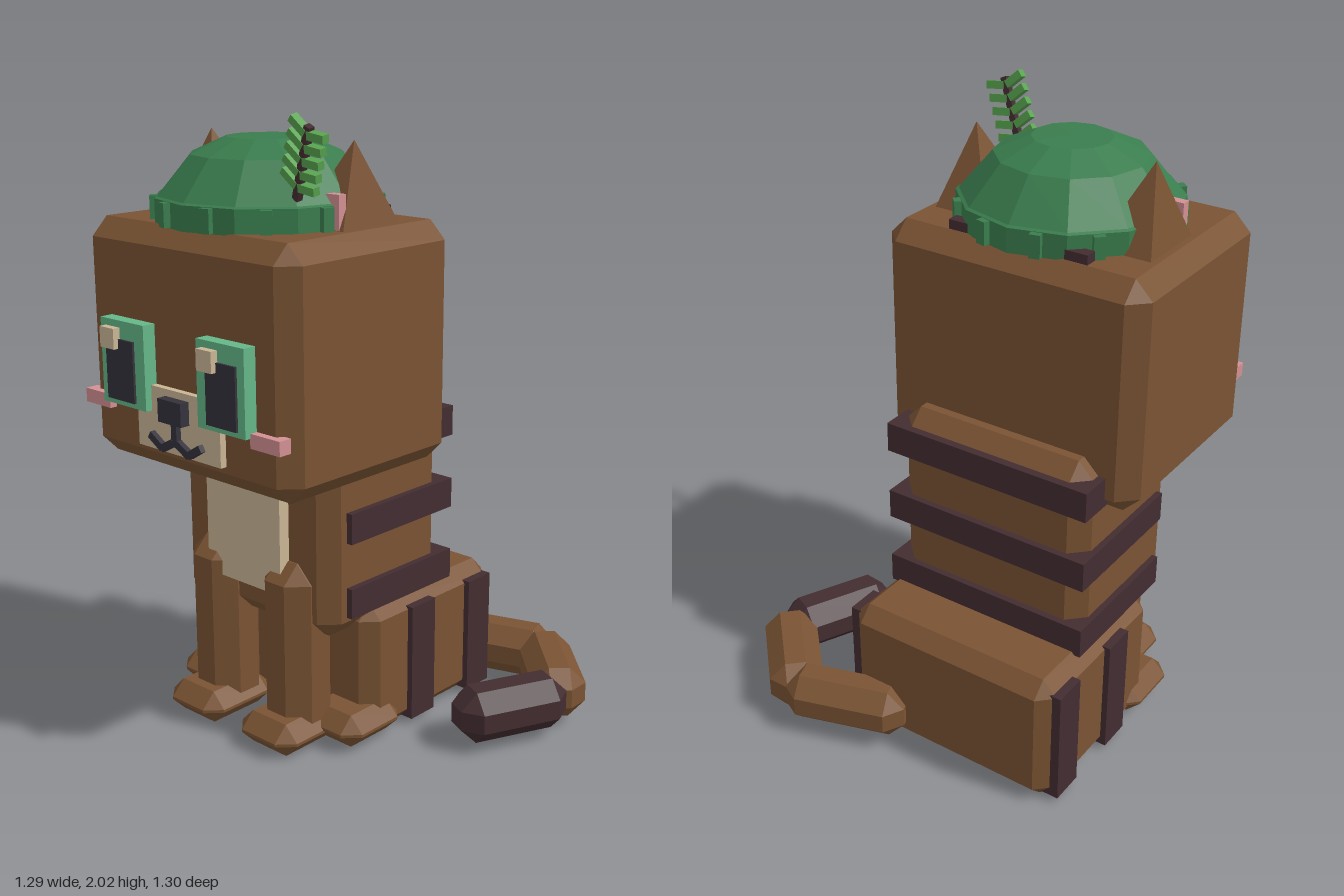
import * as THREE from 'three';
import { ConvexGeometry } from 'three/addons/geometries/ConvexGeometry.js';

const CX = -0.195; // symmetry plane of the body

export function createModel() {
  const model = new THREE.Group();
  model.name = 'sittingCat';
  const mat = (name, color) => {
    const m = new THREE.MeshStandardMaterial({ color, flatShading: true });
    m.name = name;
    return m;
  };
  const fur = mat('brown fur', 0x7a5333);
  const stripe = mat('dark stripe', 0x432d31);
  const cream = mat('cream', 0xcab695);
  const eyeGreen = mat('eye green', 0x65b788);
  const black = mat('charcoal', 0x35323c);
  const pink = mat('pink', 0xd29092);
  const hatGreen = mat('hat green', 0x3a7d4e);
  const leafGreen = mat('leaf green', 0x59a550);

  const add = (name, geometry, material, parent = model) => {
    const mesh = new THREE.Mesh(geometry, material);
    mesh.name = name;
    parent.add(mesh);
    return mesh;
  };
  // Box given by its lower and upper bounds
  const box = (name, material, [x0, x1], [y0, y1], [z0, z1], parent) => {
    const m = add(name, new THREE.BoxGeometry(x1 - x0, y1 - y0, z1 - z0), material, parent);
    m.position.set((x0 + x1) / 2, (y0 + y1) / 2, (z0 + z1) / 2);
    return m;
  };
  // Box with all edges and corners cut off by c
  const chamferGeometry = (w, h, d, c) => {
    const pts = [];
    for (const sx of [-1, 1]) for (const sy of [-1, 1]) for (const sz of [-1, 1])
      for (let a = 0; a < 3; a++)
        pts.push(new THREE.Vector3(
          sx * (w / 2 - (a === 0 ? 0 : c)),
          sy * (h / 2 - (a === 1 ? 0 : c)),
          sz * (d / 2 - (a === 2 ? 0 : c))));
    return new ConvexGeometry(pts);
  };
  const chamferBox = (name, material, [x0, x1], [y0, y1], [z0, z1], c) => {
    const m = add(name, chamferGeometry(x1 - x0, y1 - y0, z1 - z0, c), material);
    m.position.set((x0 + x1) / 2, (y0 + y1) / 2, (z0 + z1) / 2);
    return m;
  };
  // Mirrored x range: offsets from the symmetry plane
  const side = (s, a, b) => (s > 0 ? [CX + a, CX + b] : [CX - b, CX - a]);

  // Main masses
  chamferBox('head', fur, [-0.65, 0.26], [0.92, 1.68], [-0.15, 0.58], 0.058);
  chamferBox('torso', fur, [-0.54, 0.15], [0.38, 1.1], [-0.235, 0.31], 0.055);
  chamferBox('hips', fur, [-0.58, 0.19], [0, 0.46], [-0.47, 0.165], 0.05);
  box('bellyPatch', cream, [-0.36, -0.025], [0.51, 0.95], [0.29, 0.35]);

  // Stripes round the torso and on the head
  for (const y of [0.45, 0.7, 0.95])
    box('torsoStripe', stripe, [-0.56, 0.172], [y, y + 0.1], [-0.257, 0.23]);
  box('headStripe', stripe, [-0.435, 0.045], [1.66, 1.71], [-0.09, -0.05]);

  for (const s of [1, -1]) {
    // Legs, paws and hip stripes
    chamferBox('frontLeg', fur, side(s, 0.065, 0.27), [0.01, 0.62], [0.17, 0.375], 0.06);
    chamferBox('frontPaw', fur, side(s, 0.045, 0.295), [0, 0.11], [0.16, 0.46], 0.05);
    chamferBox('hindPaw', fur, side(s, 0.17, 0.42), [0.01, 0.12], [0.02, 0.29], 0.05);
    for (const z of [-0.135, -0.43])
      box('hipStripe', stripe, side(s, 0.34, 0.405), [0.02, 0.42], [z, z + 0.115]);

    // Eyes and cheeks
    box('eye', eyeGreen, side(s, 0.118, 0.32), [1.12, 1.387], [0.57, 0.625]);
    box('pupil', black, side(s, 0.163, 0.29), [1.137, 1.33], [0.62, 0.633]);
    box('cheek', pink, side(s, 0.318, 0.438), [1.09, 1.135], [0.56, 0.605]);

    // Ear: leaning pyramid with a pink inner piece
    const ear = [[0.18, 1.66, 0.02], [0.18, 1.66, 0.285], [0.382, 1.66, 0.02],
      [0.382, 1.66, 0.285], [0.31, 1.93, 0.155]];
    add('ear', new ConvexGeometry(ear.map(([x, y, z]) =>
      new THREE.Vector3(CX + s * x, y, z))), fur);
    box('innerEar', pink, side(s, 0.3, 0.36), [1.68, 1.785], [0.245, 0.275]);

    // Smile
    const inner = box('mouthInner', black, [-0.03, 0.03], [-0.012, 0.012], [0, 0.02]);
    inner.position.set(CX + s * 0.035, 1.028, 0.61);
    inner.rotation.z = -s * 0.5;
    const outer = box('mouthOuter', black, [-0.032, 0.032], [-0.012, 0.012], [0, 0.02]);
    outer.position.set(CX + s * 0.088, 1.032, 0.61);
    outer.rotation.z = s * 0.55;
  }
  for (const x of [-0.49, -0.05])
    box('eyeGlint', cream, [x, x + 0.065], [1.3, 1.365], [0.62, 0.65]);
  box('muzzle', cream, [-0.38, -0.008], [1.0, 1.2], [0.57, 0.602]);
  box('nose', black, [-0.247, -0.143], [1.105, 1.178], [0.59, 0.635]);
  box('mouthLine', black, [CX - 0.012, CX + 0.012], [1.03, 1.11], [0.59, 0.62]);

  // Faceted cap with small tabs round the band
  const hat = new THREE.Group();
  hat.name = 'hat';
  hat.position.set(CX + 0.005, 0, 0.215);
  model.add(hat);
  const profile = [[0.35, 1.675], [0.35, 1.752], [0.34, 1.757], [0.238, 1.878], [0.125, 1.928], [0, 1.93]];
  add('hatDome', new THREE.LatheGeometry(profile.map(p => new THREE.Vector2(...p)), 12), hatGreen, hat);
  for (let i = 0; i < 12; i++) {
    const a = (i + 0.5) * Math.PI / 6;
    const tab = add('hatTab', new THREE.BoxGeometry(0.035, 0.073, 0.03), hatGreen, hat);
    tab.position.set(Math.sin(a) * 0.345, 1.714, Math.cos(a) * 0.345);
    tab.rotation.y = a;
  }

  // Feather-shaped sprig on the cap
  const sprig = new THREE.Group();
  sprig.name = 'sprig';
  const from = new THREE.Vector3(0.09, 1.775, 0.37), to = new THREE.Vector3(0.19, 1.99, 0.42);
  const dir = to.clone().sub(from);
  sprig.position.copy(from);
  sprig.quaternion.setFromUnitVectors(new THREE.Vector3(0, 1, 0), dir.clone().normalize());
  model.add(sprig);
  box('sprigStem', stripe, [-0.011, 0.011], [0, dir.length()], [-0.011, 0.011], sprig);
  for (let i = 0; i < 5; i++) for (const s of [1, -1]) {
    const leaf = add('leaflet', new THREE.BoxGeometry(0.065, 0.025, 0.025), leafGreen, sprig);
    leaf.position.set(s * 0.036, 0.055 + i * 0.043, 0);
    leaf.rotation.z = s * 0.3;
  }

  // Tail: three chamfered segments curling forward
  const tail = [
    ['tailBase', fur, 0.17, -0.52, 0.42, -0.95, 0.31],
    ['tailMiddle', fur, 0.462, -0.456, 0.4, 0.707, 0.707],
    ['tailTip', stripe, 0.503, -0.165, 0.385, -0.42, 0.91],
  ];
  for (const [name, material, x, z, length, dx, dz] of tail) {
    const seg = add(name, chamferGeometry(0.18, 0.175, length, 0.055), material);
    seg.position.set(x, 0.115, z);
    seg.rotation.y = Math.atan2(dx, dz);
  }
  return model;
}
